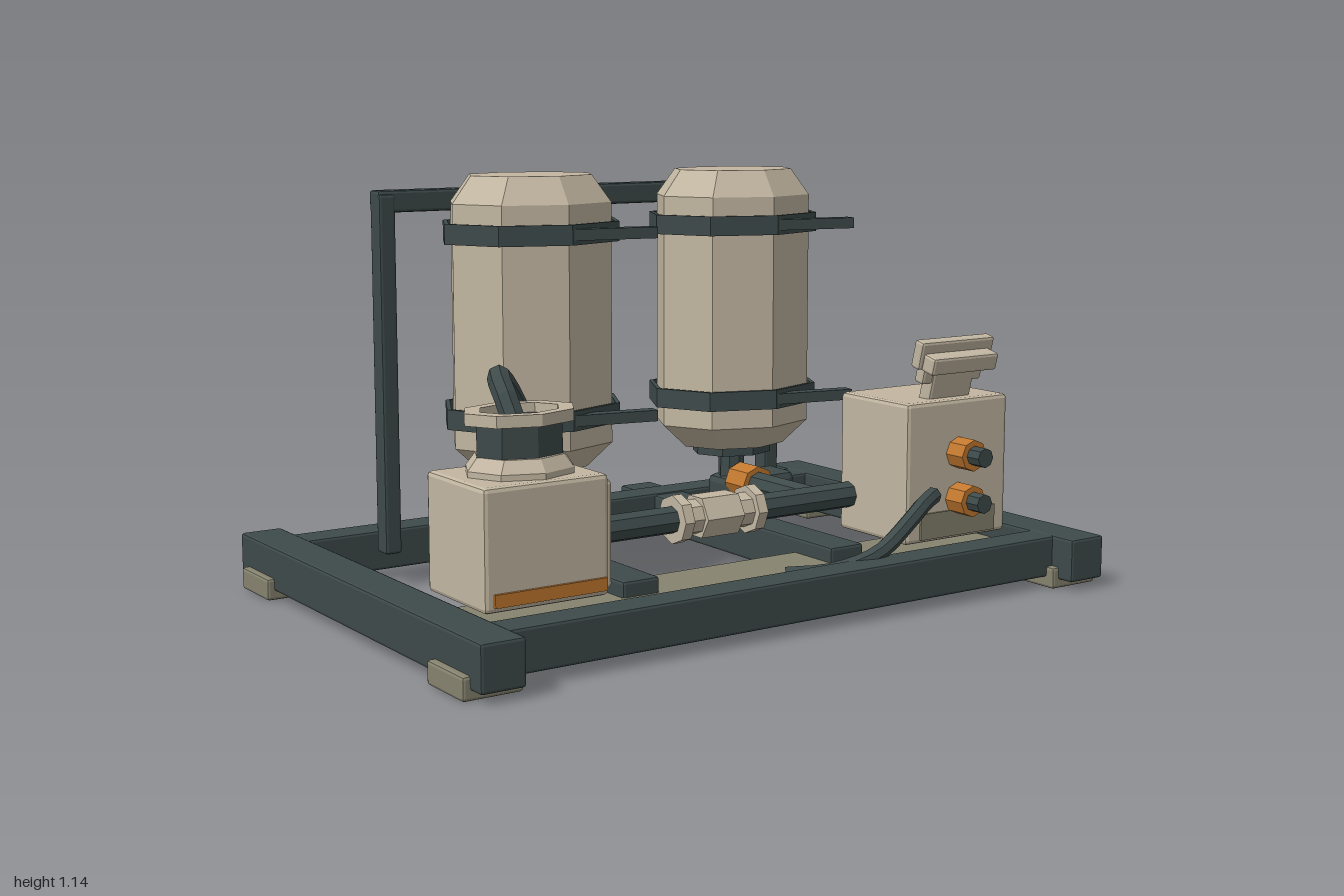
import * as THREE from 'three';
import { RoundedBoxGeometry } from 'three/addons/geometries/RoundedBoxGeometry.js';

const V = (x, y, z) => new THREE.Vector3(x, y, z);

export function createModel() {
  const group = new THREE.Group();
  const mat = (name, color) => {
    const m = new THREE.MeshStandardMaterial({ color, flatShading: true });
    m.name = name;
    return m;
  };
  const dark = mat('dark slate', 0x3e4a4a);
  const beige = mat('beige', 0xc3b7a2);
  const orange = mat('orange', 0xc2782f);
  const khaki = mat('khaki grey', 0x86836f);

  const add = (name, geo, m, x = 0, y = 0, z = 0, parent = group) => {
    const mesh = new THREE.Mesh(geo, m);
    mesh.name = name;
    mesh.position.set(x, y, z);
    parent.add(mesh);
    return mesh;
  };
  // Chamfered box given by its min and max on each axis
  const box = (name, m, x0, x1, y0, y1, z0, z1, r = 0.008) => {
    const w = x1 - x0, h = y1 - y0, d = z1 - z0;
    const geo = r ? new RoundedBoxGeometry(w, h, d, 1, r) : new THREE.BoxGeometry(w, h, d);
    return add(name, geo, m, (x0 + x1) / 2, (y0 + y1) / 2, (z0 + z1) / 2);
  };
  // Rod between two points
  const rod = (name, m, a, b, r, sides = 8) => {
    const mesh = add(name, new THREE.CylinderGeometry(r, r, a.distanceTo(b), sides), m);
    mesh.position.copy(a).lerp(b, 0.5);
    mesh.quaternion.setFromUnitVectors(V(0, 1, 0), b.clone().sub(a).normalize());
    return mesh;
  };
  const lathe = (name, m, pts, x, z, sx, sz) => {
    const geo = new THREE.LatheGeometry(pts.map(p => new THREE.Vector2(...p)), 8);
    const mesh = add(name, geo, m, x, 0, z);
    mesh.scale.set(sx, 1, sz);
    return mesh;
  };
  const hose = (name, pts, r) =>
    add(name, new THREE.TubeGeometry(new THREE.CatmullRomCurve3(pts), 14, r, 7), dark);

  // Base skid
  for (const s of [-1, 1]) {
    const x = s * 0.92;
    box('sideRail', dark, x - 0.06, x + 0.06, 0.03, 0.15, -0.685, 0.685);
    for (const f of [-1, 1])
      box('foot', khaki, s * 0.92 - 0.08, s * 0.92 + 0.08, 0.005, 0.065, f * 0.548 - 0.088, f * 0.548 + 0.088);
    box('crossMember', dark, s * 0.335 - 0.056, s * 0.335 + 0.056, 0.035, 0.142, -0.69, 0.36);
  }
  box('frontRail', dark, -0.87, 0.87, 0.035, 0.148, 0.515, 0.61);
  box('backRail', dark, -0.87, 0.87, 0.035, 0.148, -0.595, -0.497);
  box('floorPlate', khaki, -0.87, 0.87, 0.085, 0.1, 0.2, 0.53, 0);

  // Rear support frame
  for (const s of [-1, 1])
    box('upright', dark, s * 0.65 - 0.025, s * 0.65 + 0.025, 0.1, 1.09, -0.457, -0.4);
  box('topBar', dark, -0.675, 0.675, 1.04, 1.1, -0.46, -0.405);

  // Tanks with straps, outlet valves and branch pipes
  for (const x of [-0.335, 0.335]) {
    const z = -0.178;
    lathe('tank', beige, [[0, 0.352], [0.68, 0.352], [1, 0.42], [1, 1.072], [0.76, 1.145], [0, 1.145]],
      x, z, 0.238, 0.197);
    for (const y of [0.502, 0.994]) {
      lathe('strap', dark, [[0.95, y - 0.027], [1, y - 0.027], [1, y + 0.027], [0.95, y + 0.027], [0.95, y - 0.027]],
        x, z, 0.262, 0.216);
      for (const s of [-1, 1]) {
        const tail = add('strapTail', new THREE.BoxGeometry(0.25, 0.03, 0.04), dark, x + 0.12, y, z + s * 0.215);
        tail.rotation.y = -s * 0.19;
      }
    }
    lathe('tankFlange', dark, [[0, 0.325], [1, 0.325], [1, 0.36], [0, 0.36]], x, z, 0.12, 0.105);
    rod('outletNeck', dark, V(x, 0.22, z), V(x, 0.34, z), 0.038);
    box('valveBlock', dark, x - 0.05, x + 0.19, 0.15, 0.255, -0.235, -0.115, 0.022);
    rod('orangeCoupling', orange, V(x, 0.243, -0.135), V(x, 0.243, -0.045), 0.054);
    rod('branchPipe', dark, V(x, 0.243, -0.06), V(x, 0.243, 0.2), 0.038);
  }

  // Main pipe and centre coupling
  rod('mainPipe', dark, V(-0.48, 0.243, 0.203), V(0.48, 0.243, 0.203), 0.037);
  rod('couplingBody', beige, V(-0.11, 0.243, 0.203), V(0.11, 0.243, 0.203), 0.048);
  rod('couplingCollar', beige, V(-0.06, 0.243, 0.203), V(0.06, 0.243, 0.203), 0.062, 6);
  for (const s of [-1, 1])
    rod('couplingFlange', beige, V(s * 0.105, 0.243, 0.203), V(s * 0.135, 0.243, 0.203), 0.066);
  box('couplingBand', orange, -0.08, 0.08, 0.22, 0.266, 0.138, 0.147, 0);

  // Pump housing with filler neck
  const px = -0.652, pz = 0.3;
  box('pumpHousing', beige, -0.835, -0.485, 0.14, 0.445, 0.155, 0.445, 0.012);
  box('pumpEndCap', beige, -0.49, -0.462, 0.15, 0.425, 0.175, 0.425, 0.012);
  box('pumpRearPanel', beige, -0.62, -0.5, 0.28, 0.39, 0.147, 0.156, 0);
  for (const z of [0.148, 0.449])
    box('orangeTrim', orange, -0.81, -0.495, 0.155, 0.188, z - 0.0045, z + 0.0045, 0);
  lathe('pumpShoulder', beige, [[1, 0.44], [1, 0.46], [0.82, 0.492], [0, 0.492]], px, pz, 0.145, 0.125);
  lathe('fillerNeck', dark, [[1, 0.48], [1, 0.578], [0.8, 0.578]], px, pz, 0.12, 0.09);
  lathe('fillerInside', khaki, [[1, 0.575], [0, 0.575]], px, pz, 0.12, 0.09);
  lathe('fillerFlange', beige, [[0.72, 0.572], [1, 0.572], [1, 0.602], [0.72, 0.602], [0.72, 0.572]],
    px, pz, 0.152, 0.112);
  hose('pumpHose', [V(-0.655, 0.54, 0.3), V(-0.662, 0.62, 0.255), V(-0.645, 0.665, 0.185),
    V(-0.575, 0.61, 0.12), V(-0.505, 0.47, 0.112), V(-0.48, 0.36, 0.135), V(-0.475, 0.26, 0.18)], 0.03);

  // Control unit with front fittings
  box('controlHousing', beige, 0.465, 0.83, 0.14, 0.53, 0.165, 0.45, 0.012);
  box('controlSidePanel', beige, 0.828, 0.836, 0.16, 0.505, 0.19, 0.425, 0);
  box('lowerPanel', khaki, 0.515, 0.785, 0.15, 0.222, 0.449, 0.456, 0);
  for (const y of [0.254, 0.381]) {
    rod('orangeFitting', orange, V(0.65, y, 0.44), V(0.65, y, 0.515), 0.044);
    rod('fittingStub', dark, V(0.65, y, 0.5), V(0.65, y, 0.56), 0.027);
  }

  // Tilted gauge head
  const head = new THREE.Group();
  head.name = 'gaugeHead';
  head.position.set(0.65, 0.52, 0.385);
  head.rotation.x = 0.25;
  group.add(head);
  const headBox = (name, w, h, d, y, z) =>
    add(name, new RoundedBoxGeometry(w, h, d, 1, 0.008), beige, 0, y, z, head);
  headBox('gaugeStem', 0.15, 0.1, 0.045, 0.045, 0);
  headBox('gaugePlate', 0.215, 0.085, 0.035, 0.1, 0);
  headBox('gaugeTop', 0.262, 0.08, 0.035, 0.142, 0);
  headBox('gaugeFront', 0.235, 0.05, 0.05, 0.125, 0.035);

  // Loose supply hose
  hose('supplyHose', [V(0.07, 0.11, 0.43), V(0.17, 0.12, 0.495), V(0.3, 0.155, 0.525),
    V(0.42, 0.23, 0.518), V(0.49, 0.265, 0.495), V(0.55, 0.275, 0.465)], 0.023);

  return group;
}
